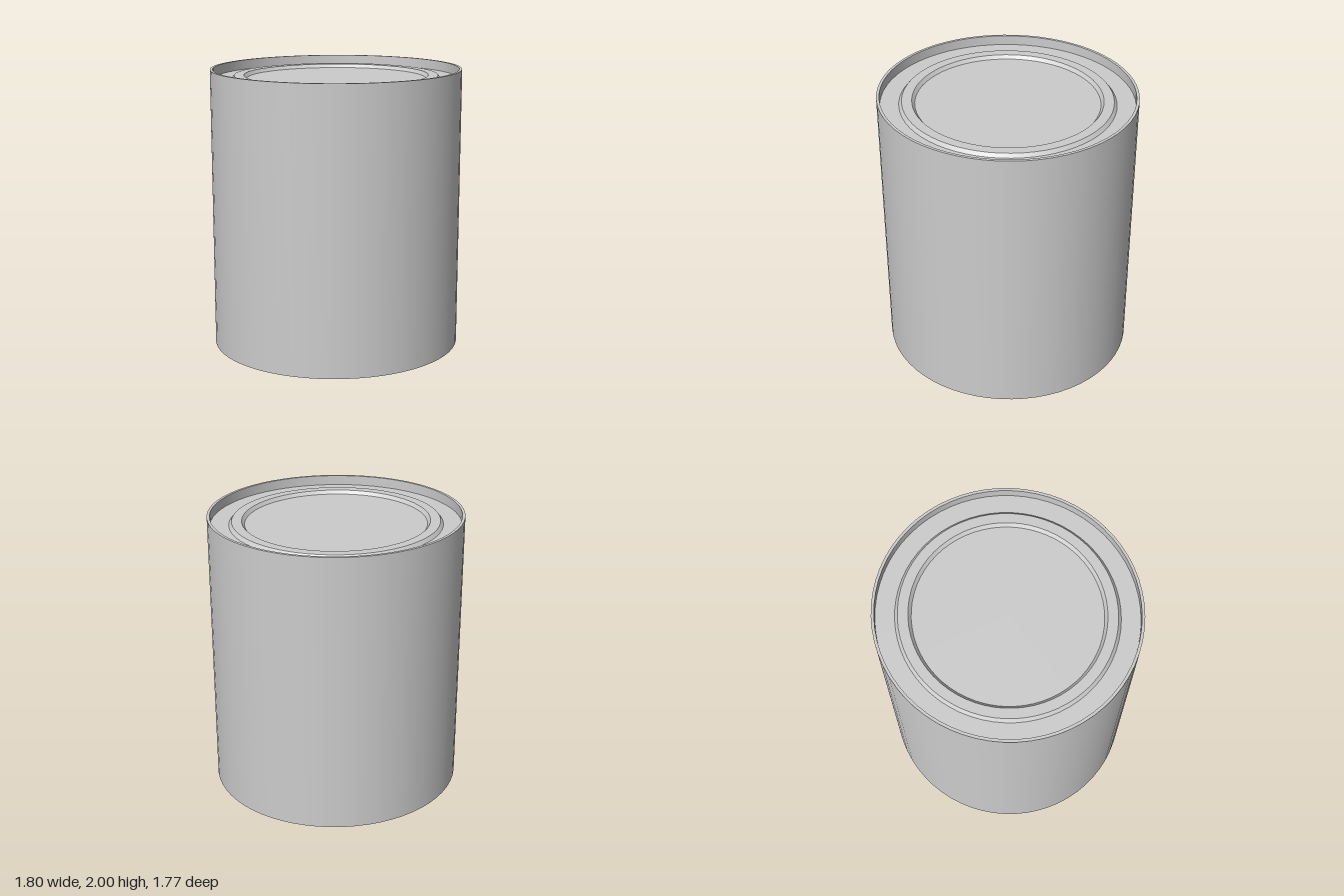
import * as THREE from 'three';
import { mergeGeometries } from 'three/addons/utils/BufferGeometryUtils.js';

const SEGMENTS = 64;
const DEPTH_SCALE = 0.985; // the can is very slightly oval

// Turns a profile of [radius, height] points, one band per edge so that corners stay crisp.
function turned(name, profile, material) {
  const bands = [];
  for (let i = 0; i < profile.length - 1; i++) {
    const points = [profile[i], profile[i + 1]].map(([r, y]) => new THREE.Vector2(r, y));
    bands.push(new THREE.LatheGeometry(points, SEGMENTS));
  }
  const geometry = mergeGeometries(bands);
  geometry.scale(1, 1, DEPTH_SCALE);
  const mesh = new THREE.Mesh(geometry, material);
  mesh.name = name;
  return mesh;
}

export function createModel() {
  const can = new THREE.Group();
  can.name = 'can';
  const metal = new THREE.MeshStandardMaterial({ color: 0xcccccc });
  metal.name = 'light grey metal';

  const outer = 0.9, inner = 0.88, height = 2;
  const recess = 0.07, lidY = height - recess, ringY = lidY + 0.025;

  // Recessed flat base
  can.add(turned('base', [[0, recess], [inner, recess]], metal));

  // Wall with thin rims standing past the base and the lid
  can.add(turned('wall', [
    [inner, recess], [inner, 0], [outer, 0],
    [outer, height], [inner, height], [inner, lidY],
  ], metal));

  // Recessed lid with a raised ring that has sloping sides
  can.add(turned('lid', [
    [inner, lidY], [0.75, lidY], [0.73, ringY],
    [0.66, ringY], [0.64, lidY], [0, lidY],
  ], metal));

  return can;
}
